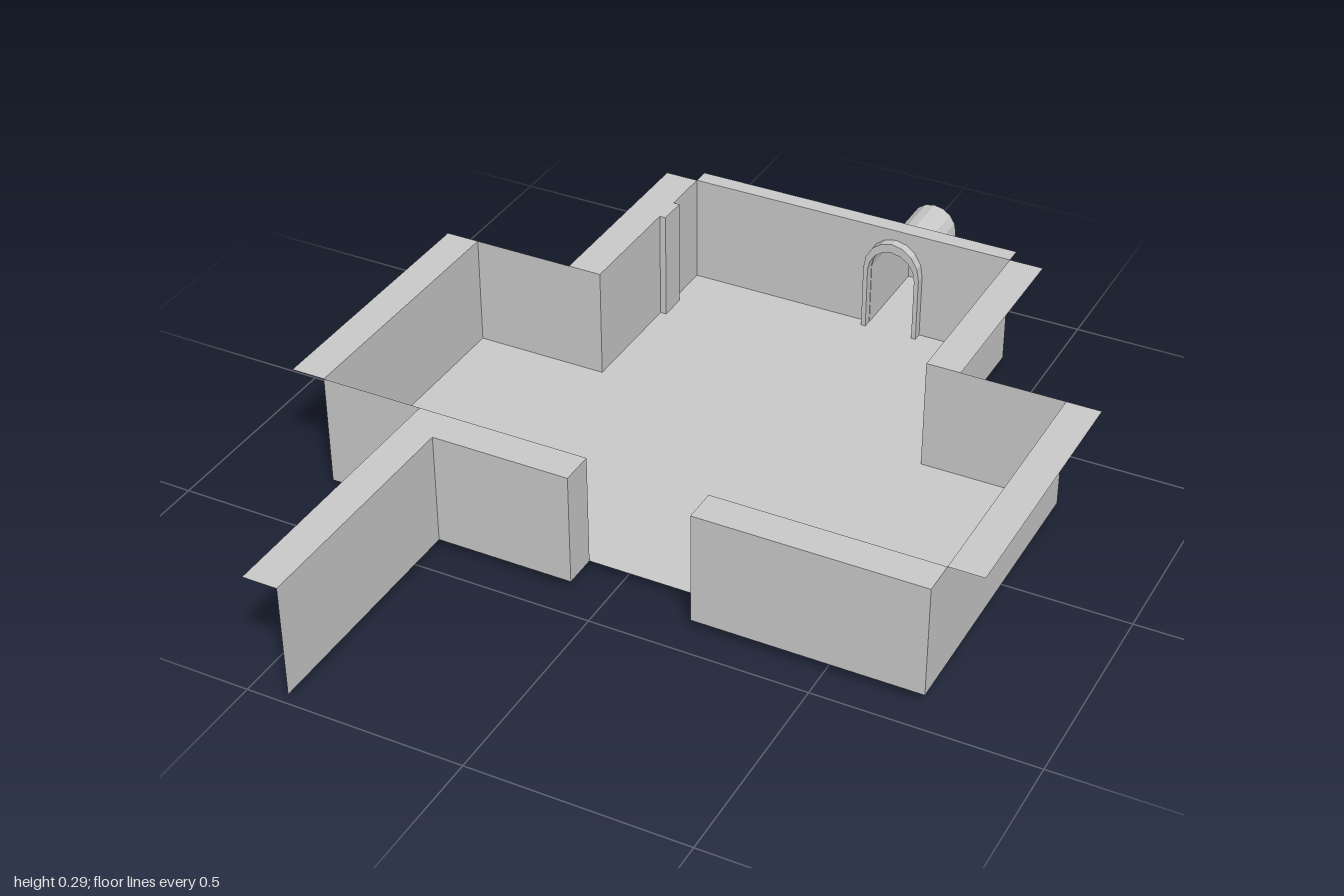
import * as THREE from 'three';

const FLOOR = 0.025, TOP = 0.29;
const material = new THREE.MeshStandardMaterial({ color: 0xcccccc, side: THREE.DoubleSide, flatShading: true });

function add(group, geometry, name) {
  const mesh = new THREE.Mesh(geometry, material);
  mesh.name = name;
  group.add(mesh);
  return mesh;
}

// Vertical sheet following a path of [x, z] points
function wall(group, name, path) {
  const pos = [];
  for (let i = 0; i + 1 < path.length; i++) {
    const [ax, az] = path[i], [bx, bz] = path[i + 1];
    pos.push(ax, FLOOR, az, bx, FLOOR, bz, bx, TOP, bz, ax, FLOOR, az, bx, TOP, bz, ax, TOP, az);
  }
  const g = new THREE.BufferGeometry();
  g.setAttribute('position', new THREE.Float32BufferAttribute(pos, 3));
  g.computeVertexNormals();
  add(group, g, name);
}

// Horizontal sheet from an outline of [x, z] points
function slab(group, name, outline, y) {
  const shape = new THREE.Shape(outline.map(([x, z]) => new THREE.Vector2(x, -z)));
  const g = new THREE.ShapeGeometry(shape).rotateX(-Math.PI / 2).translate(0, y, 0);
  add(group, g, name);
}

const ledge = (group, x0, x1, z0, z1) =>
  slab(group, 'topLedge', [[x0, z1], [x1, z1], [x1, z0], [x0, z0]], TOP);

// Arch outline from the right foot over the top to the left foot
function archPoints(cx, r, bottom, spring, rise, n = 8) {
  const pts = [new THREE.Vector2(cx + r, bottom)];
  for (let i = 0; i <= n; i++) {
    const a = (Math.PI * i) / n;
    pts.push(new THREE.Vector2(cx + r * Math.cos(a), spring + rise * Math.sin(a)));
  }
  pts.push(new THREE.Vector2(cx - r, bottom));
  return pts;
}

export function createModel() {
  const model = new THREE.Group();
  model.name = 'roomSection';

  // Floor, with a notch at the front doorway
  slab(model, 'floor', [
    [-0.72, 0.35], [-0.4, 0.35], [-0.4, 0.43], [-0.08, 0.43], [-0.08, 0.35],
    [0.2, 0.35], [0.2, 0.43], [0.72, 0.43], [0.72, -0.29], [0.4, -0.29],
    [0.4, -0.77], [-0.4, -0.77], [-0.4, -0.29], [-0.72, -0.29],
  ], FLOOR);

  // Left and right walls; the -x one folds in around a small pilaster
  wall(model, 'leftWall', [[0.4, -0.77], [0.4, -0.29], [0.72, -0.29], [0.72, 0.43]]);
  wall(model, 'rightWall', [
    [-0.4, -0.77], [-0.4, -0.65], [-0.385, -0.65], [-0.385, -0.58], [-0.4, -0.58],
    [-0.4, -0.29], [-0.72, -0.29], [-0.72, 0.35], [-0.08, 0.35],
  ]);

  // Thick front walls beside the doorway, and the long spur wall
  wall(model, 'frontWallLeft', [[0.72, 0.43], [0.2, 0.43], [0.2, 0.35], [0.72, 0.35]]);
  wall(model, 'frontWallRight', [[-0.4, 0.43], [-0.08, 0.43], [-0.08, 0.35]]);
  wall(model, 'spurWall', [[-0.4, 0.35], [-0.4, 1]]);

  // Flat ledges along the wall tops
  for (const s of [-1, 1]) {
    const span = (a, b) => [Math.min(s * a, s * b), Math.max(s * a, s * b)];
    ledge(model, ...span(0.72, 0.8), -0.29, 0.35);
    ledge(model, ...span(0.4, 0.48), -0.77, -0.29);
  }
  ledge(model, -0.4, 0.4, -0.81, -0.77);
  ledge(model, -0.4, -0.08, 0.35, 0.43);
  ledge(model, 0.2, 0.72, 0.35, 0.43);
  ledge(model, -0.48, -0.4, 0.35, 1);
  ledge(model, -0.4, -0.385, -0.65, -0.58);

  // Back wall with the arched opening cut up from the floor
  const opening = archPoints(0.118, 0.058, FLOOR, 0.18, 0.06);
  const back = new THREE.Shape([
    new THREE.Vector2(-0.4, FLOOR), new THREE.Vector2(-0.4, TOP),
    new THREE.Vector2(0.4, TOP), new THREE.Vector2(0.4, FLOOR), ...opening,
  ]);
  add(model, new THREE.ShapeGeometry(back), 'backWall').position.z = -0.77;

  // Tunnel shell: sides, vault and floor, closed at the far end
  const loop = [...opening, opening[0]], pos = [];
  for (let i = 0; i + 1 < loop.length; i++) {
    const a = loop[i], b = loop[i + 1];
    pos.push(a.x, a.y, -0.77, a.x, a.y, -1, b.x, b.y, -1, a.x, a.y, -0.77, b.x, b.y, -1, b.x, b.y, -0.77);
  }
  const tunnel = new THREE.BufferGeometry();
  tunnel.setAttribute('position', new THREE.Float32BufferAttribute(pos, 3));
  tunnel.computeVertexNormals();
  add(model, tunnel, 'tunnel');
  add(model, new THREE.ShapeGeometry(new THREE.Shape(opening)), 'tunnelEnd').position.z = -1;

  // Raised trim around the arch, with slanted feet
  const trim = new THREE.Shape([
    ...archPoints(0.118, 0.07, 0, 0.185, 0.08),
    ...archPoints(0.118, 0.059, 0.018, 0.18, 0.062).reverse(),
  ]);
  const trimGeometry = new THREE.ExtrudeGeometry(trim, { depth: 0.022, bevelEnabled: false });
  add(model, trimGeometry, 'archTrim').position.z = -0.77;

  return model;
}
